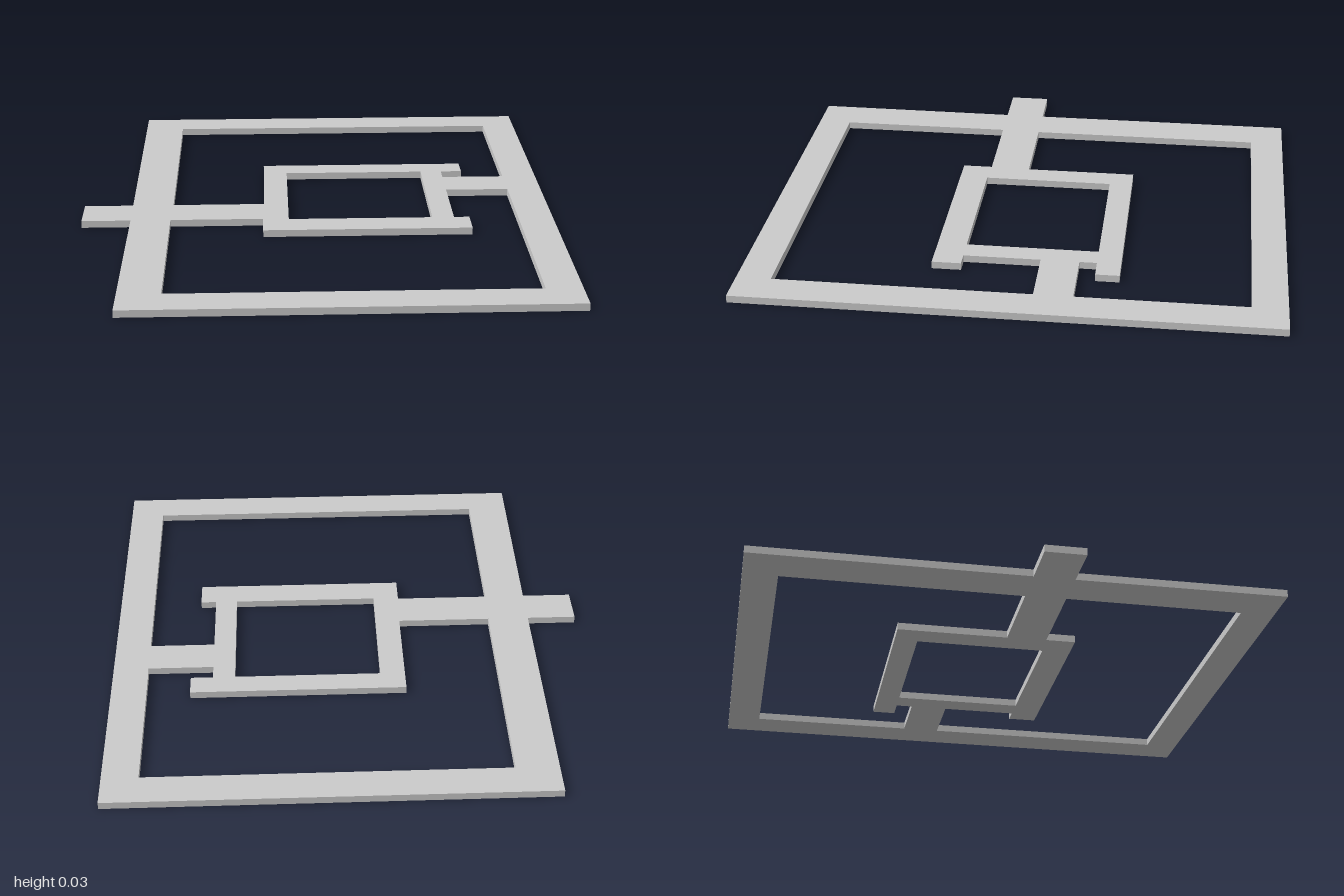
import * as THREE from 'three';

const THICKNESS = 0.028;
const toPoints = (pairs) => pairs.map(([x, z]) => new THREE.Vector2(x, z));

// All outlines are plan coordinates [x, z].
// Outer frame with the tab sticking out on the -x side
const outline = [
  [-0.73, -1], [0.915, -1], [0.915, 1], [-0.735, 1],
  [-0.73, 0.195], [-0.92, 0.195], [-0.92, 0.04], [-0.73, 0.04],
];

// Opening behind the two arms, notched by the top bar of the inner frame
const backOpening = [
  [-0.57, -0.87], [0.78, -0.87], [0.78, -0.235], [0.53, -0.235], [0.53, -0.3],
  [0.615, -0.3], [0.615, -0.39], [-0.21, -0.39], [-0.21, 0.04], [-0.57, 0.04],
];

// Opening in front of the two arms, notched by the lower bar of the inner frame
const frontOpening = [
  [-0.575, 0.195], [-0.215, 0.195], [-0.215, 0.31], [0.59, 0.31], [0.59, 0.2],
  [0.53, 0.2], [0.53, -0.09], [0.78, -0.09], [0.78, 0.87], [-0.575, 0.87],
];

// Window of the inner frame
const innerWindow = [[-0.115, -0.3], [0.445, -0.3], [0.445, 0.2], [-0.115, 0.2]];

export function createModel() {
  const group = new THREE.Group();
  group.name = 'nestedFramePlate';

  // One flat plate: outer frame, arms and inner frame are joined without seams
  const shape = new THREE.Shape(toPoints(outline));
  for (const hole of [backOpening, frontOpening, innerWindow]) {
    shape.holes.push(new THREE.Path(toPoints(hole)));
  }
  const geometry = new THREE.ExtrudeGeometry(shape, { depth: THICKNESS, bevelEnabled: false });
  geometry.rotateX(Math.PI / 2); // lay flat: plan y becomes z
  geometry.translate(0, THICKNESS, 0);

  const plate = new THREE.Mesh(
    geometry,
    new THREE.MeshStandardMaterial({ color: 0xcccccc, flatShading: true }),
  );
  plate.name = 'framePlate';
  group.add(plate);
  return group;
}
